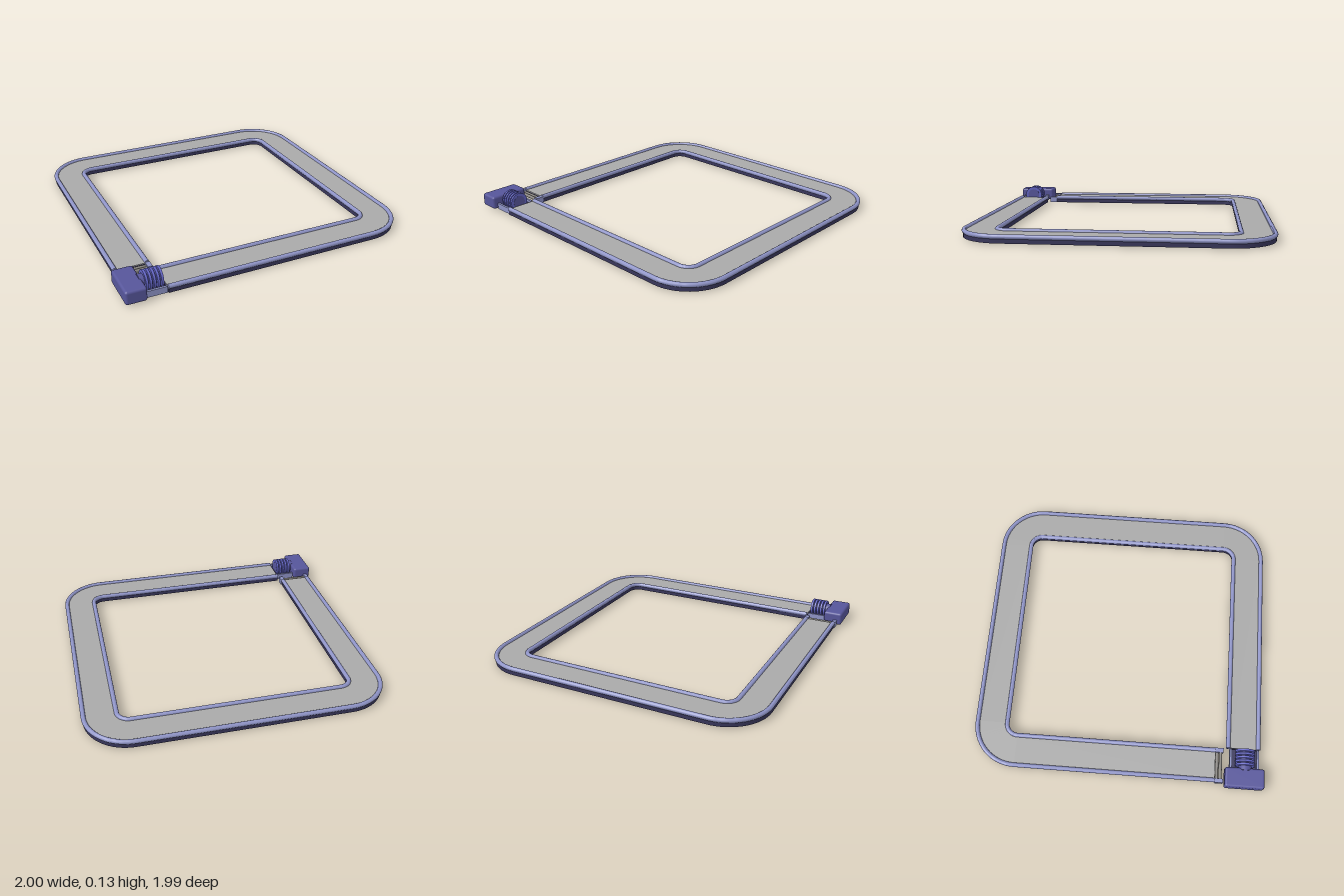
import * as THREE from 'three';
import { toCreasedNormals } from 'three/addons/utils/BufferGeometryUtils.js';
import { RoundedBoxGeometry } from 'three/addons/geometries/RoundedBoxGeometry.js';

const mat = (name, color) => {
  const m = new THREE.MeshStandardMaterial({ color });
  m.name = name;
  return m;
};

// Stations of the open square loop: corner centre plus outward angle
function loopStations() {
  const out = [[-0.67, 0.66, Math.PI]];
  [[-0.67, -0.7], [0.7, -0.7], [0.7, 0.665]].forEach(([x, z], k) => {
    for (let i = 0; i <= 16; i++) out.push([x, z, Math.PI + (k + i / 16) * Math.PI / 2]);
  });
  out.push([-0.73, 0.665, Math.PI * 2.5]);
  return out;
}

// Sweep a convex counter-clockwise profile of [outward offset, height] round the loop
function sweep(profile) {
  const pos = [], idx = [], stations = loopStations(), n = profile.length;
  for (const [x, z, a] of stations)
    for (const [r, y] of profile) pos.push(x + Math.cos(a) * r, y, z + Math.sin(a) * r);
  for (let s = 0; s < stations.length - 1; s++)
    for (let i = 0; i < n; i++) {
      const a = s * n + i, b = s * n + (i + 1) % n;
      idx.push(a, b, b + n, a, b + n, a + n);
    }
  const last = (stations.length - 1) * n;
  for (let i = 1; i < n - 1; i++) {
    idx.push(0, i + 1, i);
    idx.push(last, last + i, last + i + 1);
  }
  const g = new THREE.BufferGeometry();
  g.setAttribute('position', new THREE.Float32BufferAttribute(pos, 3));
  g.setIndex(idx);
  return toCreasedNormals(g, 0.7);
}

const rect = (r0, r1, y0, y1) => [[r0, y0], [r1, y0], [r1, y1], [r0, y1]];
const circle = (r, y, rad, n = 14) => Array.from({ length: n }, (_, i) => {
  const a = i / n * Math.PI * 2;
  return [r + Math.cos(a) * rad, y + Math.sin(a) * rad];
});

export function createModel() {
  const root = new THREE.Group();
  root.name = 'squareLoop';
  const railMat = mat('light periwinkle', 0x8e93c6);
  const bodyMat = mat('dark navy', 0x38365a);
  const beltMat = mat('belt grey', 0xa9a9a9);
  const boxMat = mat('indigo', 0x56559a);
  const discMat = mat('bright blue', 0x6264c4);
  const rollerMat = mat('roller grey', 0x85827e);

  const add = (name, geo, material, x = 0, y = 0, z = 0, parent = root) => {
    const m = new THREE.Mesh(geo, material);
    m.name = name;
    m.position.set(x, y, z);
    parent.add(m);
    return m;
  };
  // Box given by its limits
  const block = (name, material, x0, x1, y0, y1, z0, z1) =>
    add(name, new THREE.BoxGeometry(x1 - x0, y1 - y0, z1 - z0), material,
      (x0 + x1) / 2, (y0 + y1) / 2, (z0 + z1) / 2);

  // Loop: tray, belt and the two round rails
  add('tray', sweep(rect(0.073, 0.292, 0.005, 0.04)), bodyMat);
  add('belt', sweep(rect(0.092, 0.273, 0.039, 0.045)), beltMat);
  add('outerRail', sweep(circle(0.285, 0.045, 0.015)), railMat);
  add('innerRail', sweep(circle(0.08, 0.045, 0.015)), railMat);

  // Open end of the left arm: two cheeks with rollers between them
  block('leftArmOuterCheek', railMat, -0.97, -0.943, 0.008, 0.05, 0.66, 0.715);
  block('leftArmInnerCheek', railMat, -0.765, -0.735, 0.008, 0.05, 0.66, 0.715);
  for (const z of [0.673, 0.697]) {
    const g = new THREE.CylinderGeometry(0.011, 0.011, 0.18, 16).rotateZ(Math.PI / 2);
    add('endRoller', g, rollerMat, -0.854, 0.03, z);
  }

  // Cradle at the end of the front arm
  block('cradleBackCheek', railMat, -0.865, -0.735, 0.008, 0.05, 0.757, 0.772);
  block('cradleFrontCheek', railMat, -0.865, -0.735, 0.008, 0.05, 0.94, 0.955);
  block('cradleFloor', bodyMat, -0.86, -0.735, 0.02, 0.032, 0.77, 0.942);

  // Stack of upright discs on a shared axle
  const stack = new THREE.Group();
  stack.name = 'discStack';
  stack.position.set(-0.797, 0.065, 0.858);
  root.add(stack);
  const disc = new THREE.CylinderGeometry(0.065, 0.065, 0.015, 36).rotateZ(Math.PI / 2);
  for (let i = -2; i <= 2; i++) add('disc', disc, discMat, i * 0.0235, 0, 0, stack);
  add('axle', new THREE.CylinderGeometry(0.045, 0.045, 0.14, 24).rotateZ(Math.PI / 2),
    boxMat, -0.015, 0, 0, stack);

  // Motor housing at the outer corner
  add('motorHousing', new RoundedBoxGeometry(0.133, 0.09, 0.265, 3, 0.016), boxMat,
    -0.933, 0.055, 0.855);
  return root;
}
